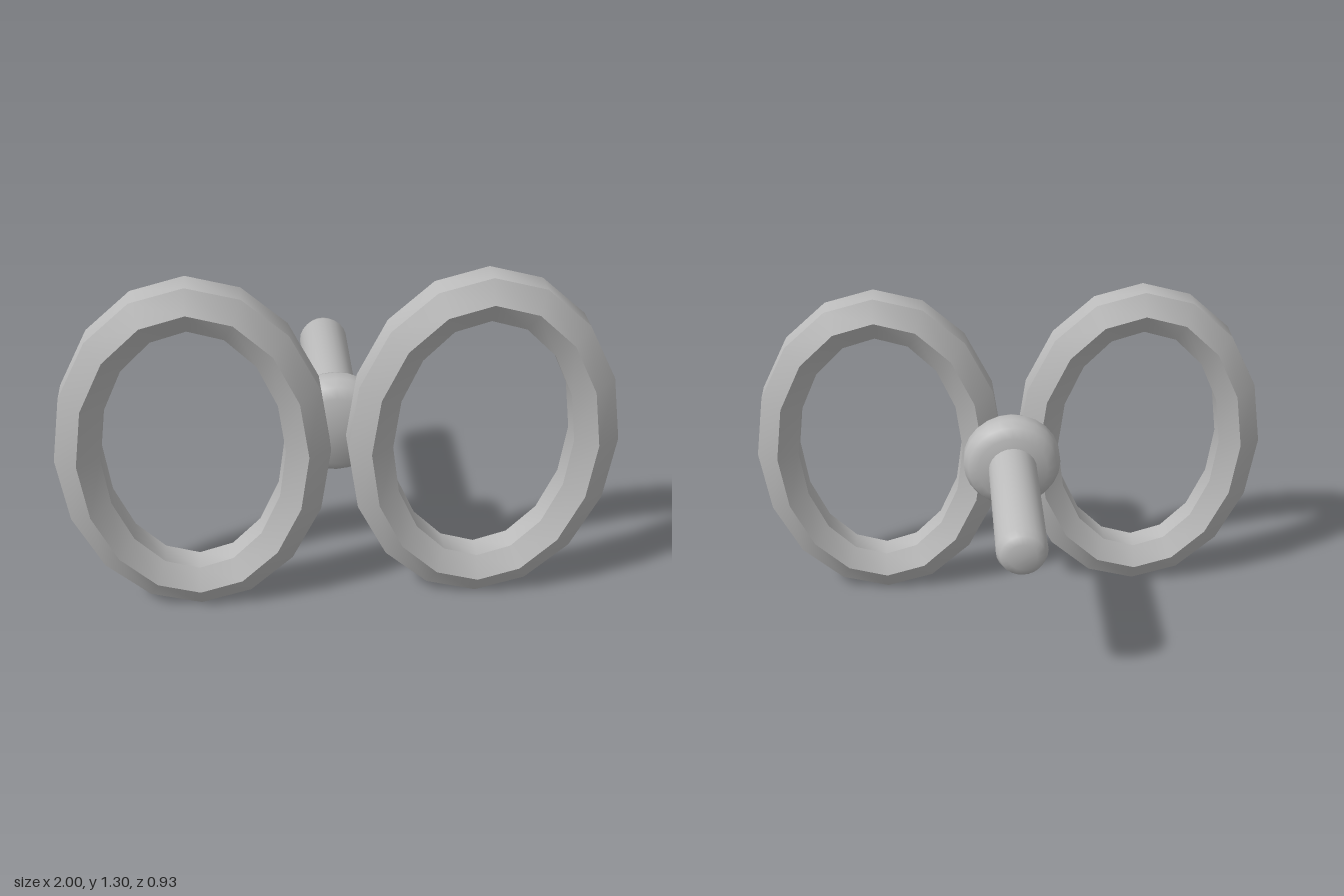
import * as THREE from 'three';
import { toCreasedNormals } from 'three/addons/utils/BufferGeometryUtils.js';

const metal = new THREE.MeshStandardMaterial({ color: 0xbbbbbb });
metal.name = 'grey metal';

// Lathe whose axis is turned to run along z; points are [radius, z]
function latheZ(points, sides) {
  const profile = points.map(([r, z]) => new THREE.Vector2(r, z));
  return new THREE.LatheGeometry(profile, sides).rotateX(Math.PI / 2);
}

function makeMesh(name, geometry, crease) {
  const mesh = new THREE.Mesh(toCreasedNormals(geometry, crease), metal);
  mesh.name = name;
  return mesh;
}

// Oval hoop with a hexagonal section of constant width
function ringGeometry() {
  const section = [
    [0.65, -0.048], [0.65, 0.048], [0.57, 0.094],
    [0.49, 0.048], [0.49, -0.048], [0.57, -0.094], [0.65, -0.048],
  ];
  const geometry = latheZ(section, 16);
  const pos = geometry.attributes.position;
  for (let i = 0; i < pos.count; i++) {
    const x = pos.getX(i);
    const r = Math.hypot(x, pos.getY(i));
    pos.setX(i, x - 0.165 * x / r);
  }
  return geometry;
}

export function createModel() {
  const group = new THREE.Group();
  group.name = 'doubleRingHandle';

  // Two oval finger rings
  for (const side of [-1, 1]) {
    const ring = makeMesh(side > 0 ? 'leftRing' : 'rightRing', ringGeometry(), 0.7);
    ring.position.set(side * 0.515, 0.65, 0.372);
    group.add(ring);
  }

  // Rounded collar between the rings
  const half = [[0.136, 0.078], [0.173, 0.057], [0.19, 0.022]];
  const collarProfile = [
    [0, -0.078],
    ...half.map(([r, z]) => [r, -z]),
    ...half.slice().reverse(),
    [0, 0.078],
  ];
  const collar = makeMesh('collar', latheZ(collarProfile, 24), 0.9);
  collar.position.set(0, 0.65, 0.222);
  group.add(collar);

  // Straight rod pointing backwards, with a softened tip
  const rodProfile = [[0, -0.466], [0.052, -0.464], [0.081, -0.452], [0.094, -0.42], [0.094, 0.22]];
  const rod = makeMesh('rod', latheZ(rodProfile, 24), 0.9);
  rod.position.y = 0.65;
  group.add(rod);

  return group;
}
